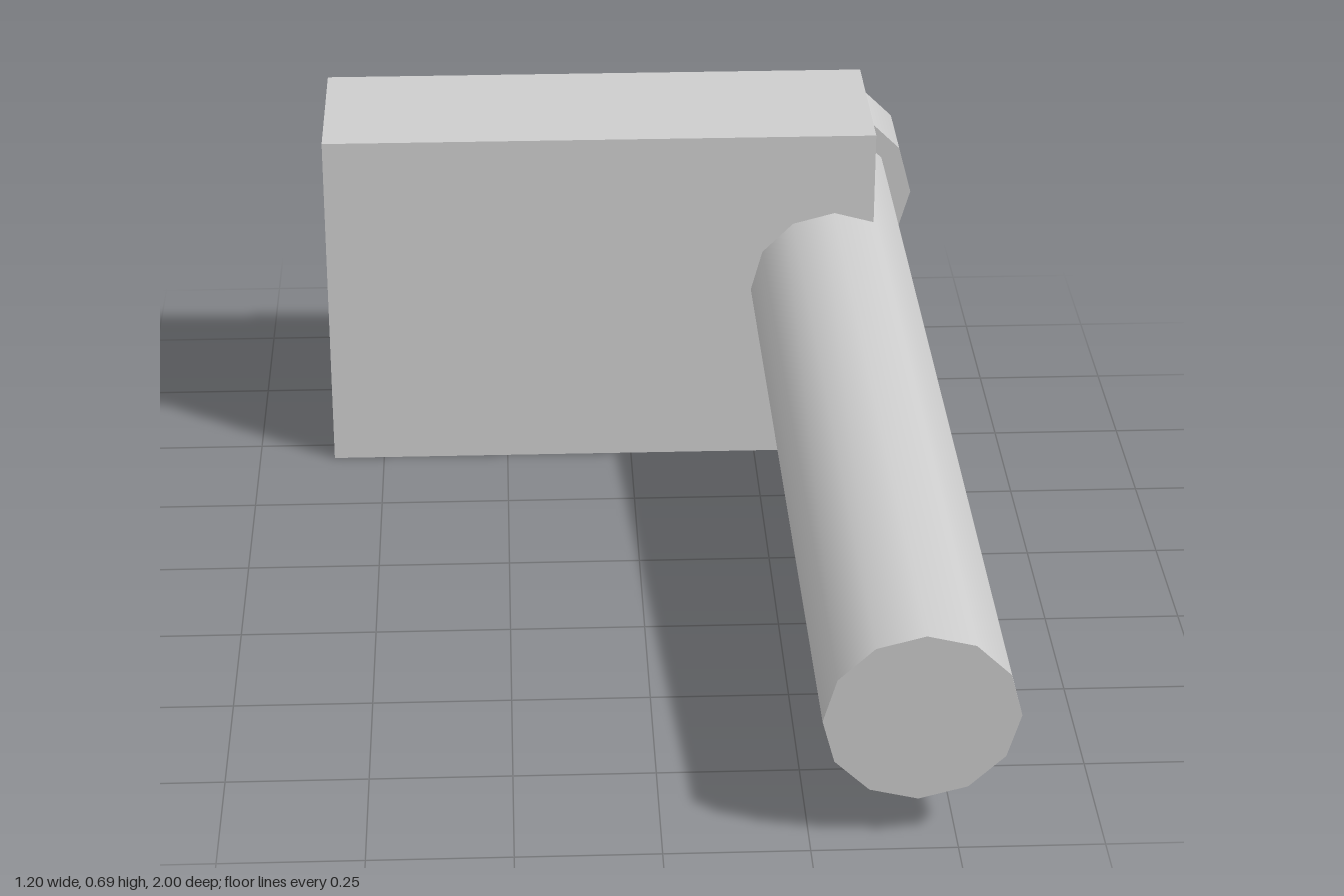
import * as THREE from 'three';

export function createModel() {
  const model = new THREE.Group();
  const grey = new THREE.MeshStandardMaterial({ color: 0xcccccc });
  grey.name = 'light grey';

  // Upright block that the pin passes through
  const block = new THREE.Mesh(new THREE.BoxGeometry(1.08, 0.69, 0.343), grey);
  block.name = 'block';
  block.position.set(-0.06, 0.345, -0.615);
  model.add(block);

  // Tilted pin: local +z runs from the free end to the head
  const tip = new THREE.Vector3(0.432, 0.249, 0.987);
  const end = new THREE.Vector3(0.391, 0.405, -0.984);
  const length = tip.distanceTo(end);
  const headDepth = 0.148;
  const pin = new THREE.Group();
  pin.name = 'pin';
  pin.position.copy(tip);
  pin.lookAt(end);
  model.add(pin);

  const addCylinder = (name, startRadius, endRadius, from, to) => {
    const geometry = new THREE.CylinderGeometry(endRadius, startRadius, to - from, 12);
    geometry.rotateX(Math.PI / 2);
    const mesh = new THREE.Mesh(geometry, grey);
    mesh.name = name;
    mesh.position.z = (from + to) / 2;
    pin.add(mesh);
  };
  addCylinder('shaft', 0.167, 0.162, 0, length - headDepth);
  addCylinder('head', 0.204, 0.204, length - headDepth, length);

  return model;
}
